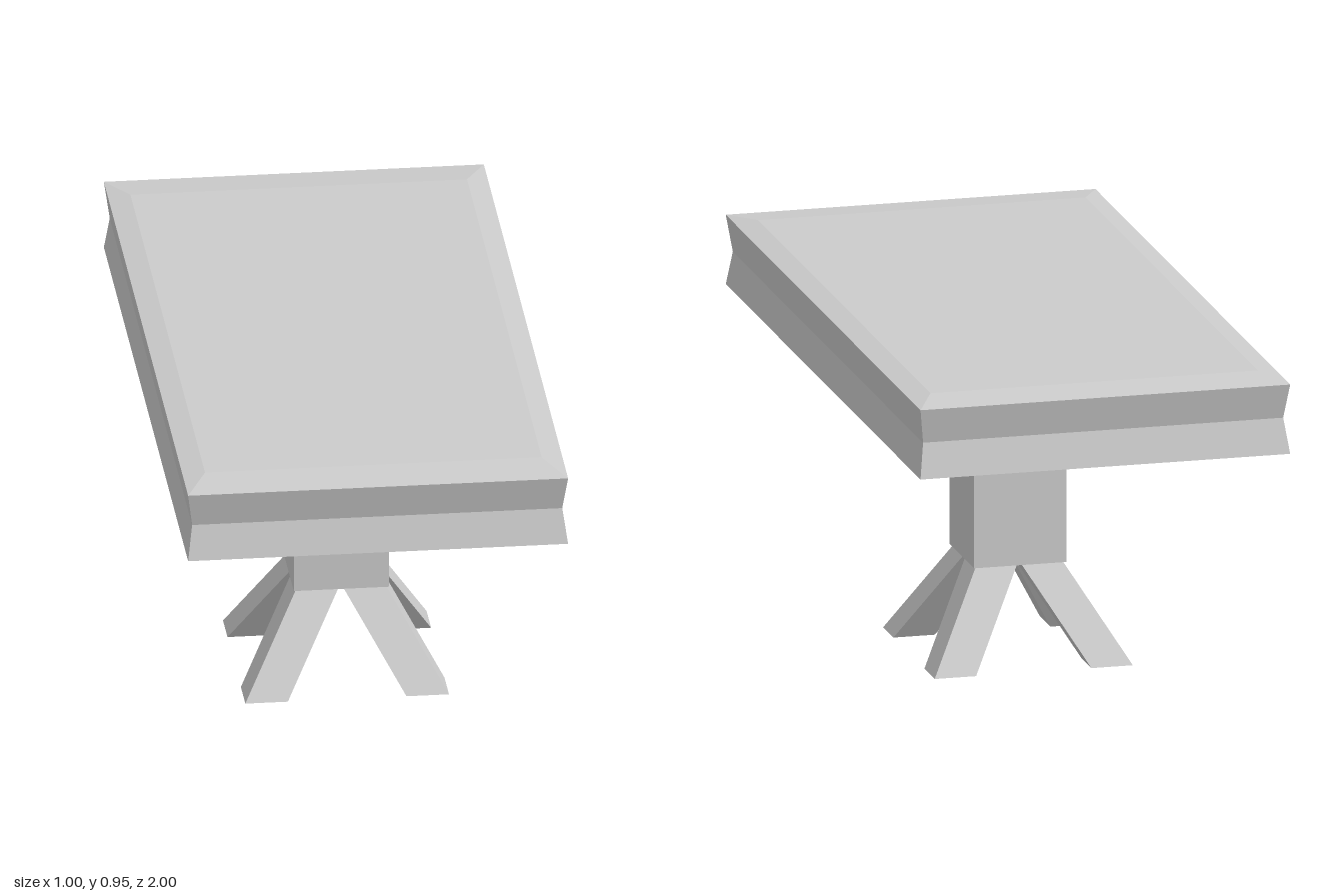
import * as THREE from 'three';

// Lofts rectangular sections [y, centreX, centreZ, halfX, halfZ], bottom to top.
function loft(sections) {
  const pos = [];
  const rings = sections.map(([y, cx, cz, hx, hz]) => [
    [cx - hx, y, cz + hz], [cx + hx, y, cz + hz],
    [cx + hx, y, cz - hz], [cx - hx, y, cz - hz],
  ]);
  const quad = (a, b, c, d) => pos.push(...a, ...b, ...c, ...a, ...c, ...d);
  for (let i = 0; i < rings.length - 1; i++) {
    const lo = rings[i], hi = rings[i + 1];
    for (let k = 0; k < 4; k++) {
      const n = (k + 1) % 4;
      quad(lo[k], lo[n], hi[n], hi[k]);
    }
  }
  const first = rings[0], last = rings[rings.length - 1];
  quad(first[3], first[2], first[1], first[0]);
  quad(...last);
  const geometry = new THREE.BufferGeometry();
  geometry.setAttribute('position', new THREE.Float32BufferAttribute(pos, 3));
  geometry.computeVertexNormals();
  return geometry;
}

export function createModel() {
  const group = new THREE.Group();
  const material = new THREE.MeshStandardMaterial({ color: 0xcccccc, flatShading: true });
  const add = (name, geometry) => {
    const mesh = new THREE.Mesh(geometry, material);
    mesh.name = name;
    group.add(mesh);
    return mesh;
  };

  // Table top: grooved edge all round and a shallow bevel on top
  add('tableTop', loft([
    [0.752, 0, 0, 0.5, 1],
    [0.845, 0, 0, 0.487, 0.977],
    [0.94, 0, 0, 0.5, 1],
    [0.952, 0, 0, 0.443, 0.885],
  ]));

  // Square pedestal
  add('pedestal', new THREE.BoxGeometry(0.25, 0.5, 0.25)).position.y = 0.503;

  // Four feet splayed along the diagonals
  for (const [sx, end] of [[-1, 'Right'], [1, 'Left']]) {
    for (const [sz, side] of [[-1, 'back'], [1, 'front']]) {
      add(`${side}${end}Leg`, loft([
        [0, sx * 0.212, sz * 0.212, 0.056, 0.053],
        [0.256, sx * 0.06, sz * 0.06, 0.056, 0.053],
      ]));
    }
  }
  return group;
}
